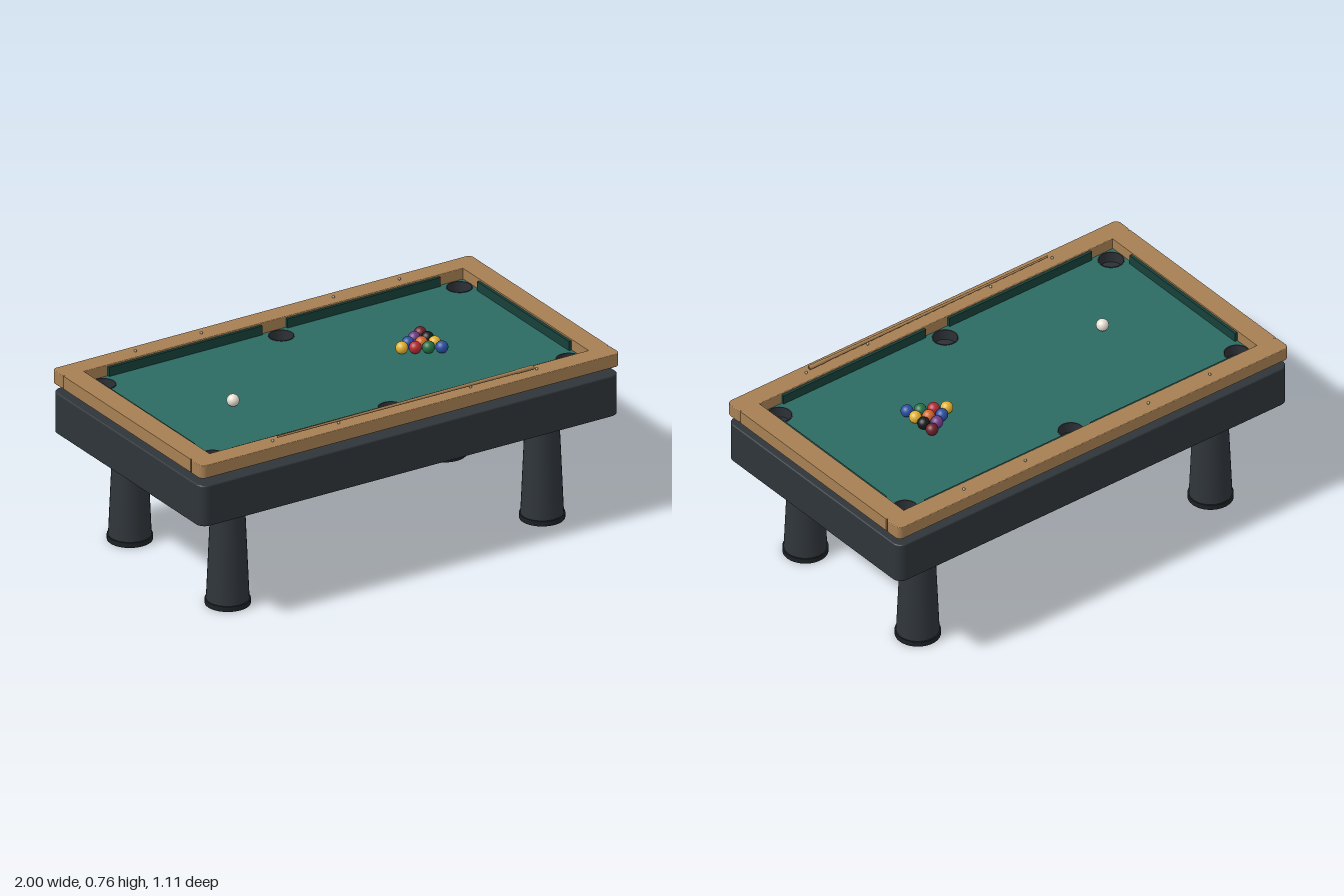
import * as THREE from 'three';

const mat = (color, side = THREE.FrontSide) => new THREE.MeshStandardMaterial({ color, side });
const wood = mat(0xa67f53), dark = mat(0x2f353a), foot = mat(0x1d2124);
const felt = mat(0x2b6a62), cushionMat = mat(0x17403a), cupMat = mat(0x2c3035, THREE.DoubleSide);
const metal = mat(0xb9aa90);

function add(parent, name, geometry, material, x = 0, y = 0, z = 0) {
  const mesh = new THREE.Mesh(geometry, material);
  mesh.name = name;
  mesh.position.set(x, y, z);
  parent.add(mesh);
  return mesh;
}

// Rounded rectangle in plan, w along x and d along z
function roundedRect(w, d, r) {
  const s = new THREE.Shape(), x = w / 2, y = d / 2;
  s.moveTo(-x + r, -y);
  s.lineTo(x - r, -y);
  s.absarc(x - r, -y + r, r, -Math.PI / 2, 0);
  s.lineTo(x, y - r);
  s.absarc(x - r, y - r, r, 0, Math.PI / 2);
  s.lineTo(-x + r, y);
  s.absarc(-x + r, y - r, r, Math.PI / 2, Math.PI);
  s.lineTo(-x, -y + r);
  s.absarc(-x + r, -y + r, r, Math.PI, Math.PI * 1.5);
  return s;
}

// Upright slab standing on y = 0 with lightly eased edges
function slab(w, h, d, r, bevel) {
  const g = new THREE.ExtrudeGeometry(roundedRect(w - 2 * bevel, d - 2 * bevel, r), {
    depth: h - 2 * bevel, bevelThickness: bevel, bevelSize: bevel,
    bevelSegments: 3, curveSegments: 8,
  });
  return g.rotateX(-Math.PI / 2).translate(0, bevel, 0);
}

export function createModel() {
  const table = new THREE.Group();
  table.name = 'poolTable';

  // Cabinet
  add(table, 'cabinet', slab(2, 0.18, 1.11, 0.035, 0.006), dark, 0, 0.465, 0);

  // Tapered legs on round feet
  for (const x of [-0.75, 0.75]) for (const z of [-0.362, 0.362]) {
    const leg = new THREE.Group();
    leg.name = 'leg';
    leg.position.set(x, 0, z);
    add(leg, 'legPost', new THREE.CylinderGeometry(0.068, 0.088, 0.455, 32), dark, 0, 0.2425, 0);
    add(leg, 'legFoot', new THREE.CylinderGeometry(0.093, 0.093, 0.022, 32), foot, 0, 0.011, 0);
    table.add(leg);
  }

  // Playing bed with six pocket holes
  const bed = new THREE.Shape();
  bed.moveTo(-0.905, -0.462);
  bed.lineTo(0.905, -0.462);
  bed.lineTo(0.905, 0.462);
  bed.lineTo(-0.905, 0.462);
  bed.closePath();
  const pockets = [];
  for (const x of [-0.85, 0, 0.85]) for (const z of [-0.405, 0.405]) pockets.push([x, z]);
  for (const [x, z] of pockets) {
    bed.holes.push(new THREE.Path().absarc(x, -z, 0.05, 0, Math.PI * 2, true));
  }
  const bedGeo = new THREE.ExtrudeGeometry(bed, { depth: 0.022, bevelEnabled: false, curveSegments: 24 });
  add(table, 'bed', bedGeo.rotateX(-Math.PI / 2), felt, 0, 0.668, 0);

  // Pocket cups with a thin lip over the cloth
  const cupProfile = [[0, 0.646], [0.048, 0.646], [0.0495, 0.688], [0.0495, 0.692], [0.054, 0.692], [0.054, 0.668], [0.05, 0.646]]
    .map(([r, y]) => new THREE.Vector2(r, y));
  for (const [x, z] of pockets) {
    const g = new THREE.LatheGeometry(cupProfile, 32).toNonIndexed();
    g.computeVertexNormals();
    add(table, 'pocketCup', g, cupMat, x, 0, z);
  }

  // Wooden rails: full-length long rails, short rails between them
  for (const s of [-1, 1]) {
    add(table, 'longRail', slab(2, 0.057, 0.091, 0.022, 0.003), wood, 0, 0.68, s * 0.5095);
    add(table, 'endRail', new THREE.BoxGeometry(0.093, 0.057, 0.94), wood, s * 0.951, 0.7085, 0);
  }

  // Cushions, broken at the pockets
  for (const s of [-1, 1]) {
    for (const e of [-1, 1]) {
      add(table, 'longCushion', new THREE.BoxGeometry(0.73, 0.04, 0.014), cushionMat, e * 0.425, 0.71, s * 0.459);
    }
    add(table, 'endCushion', new THREE.BoxGeometry(0.014, 0.04, 0.68), cushionMat, s * 0.899, 0.71, 0);
  }

  // Sight studs on the long rails
  for (const x of [-0.63, -0.315, 0.315, 0.63]) for (const z of [-0.508, 0.508]) {
    add(table, 'sight', new THREE.SphereGeometry(0.006, 12, 8), metal, x, 0.742, z);
  }

  // Racked balls and cue ball
  const ballGeo = new THREE.SphereGeometry(0.026, 24, 16);
  const rack = [
    [0xe0b030], [0x2a4fa0, 0xb02a30], [0x6a3a85, 0xd0662a, 0x237045],
    [0x6a1f28, 0x17181a, 0xe0b030, 0x2a4fa0],
  ];
  rack.forEach((row, i) => row.forEach((color, j) => {
    add(table, 'ball', ballGeo, mat(color), 0.314 + i * 0.0465, 0.716, (j - i / 2) * 0.0535);
  }));
  add(table, 'cueBall', ballGeo, mat(0xe8e0d4), -0.525, 0.716, 0.052);

  // Cue lying along the front rail, butt towards +x
  const cueProfile = [[0, -0.61], [0.0042, -0.61], [0.0062, 0.05], [0.008, 0.53], [0.0095, 0.532], [0.0095, 0.61], [0, 0.61]]
    .map(([r, y]) => new THREE.Vector2(r, y));
  const cue = add(table, 'cue', new THREE.LatheGeometry(cueProfile, 16), wood, 0, 0.755, 0.512);
  cue.rotation.z = -Math.PI / 2;

  return table;
}
